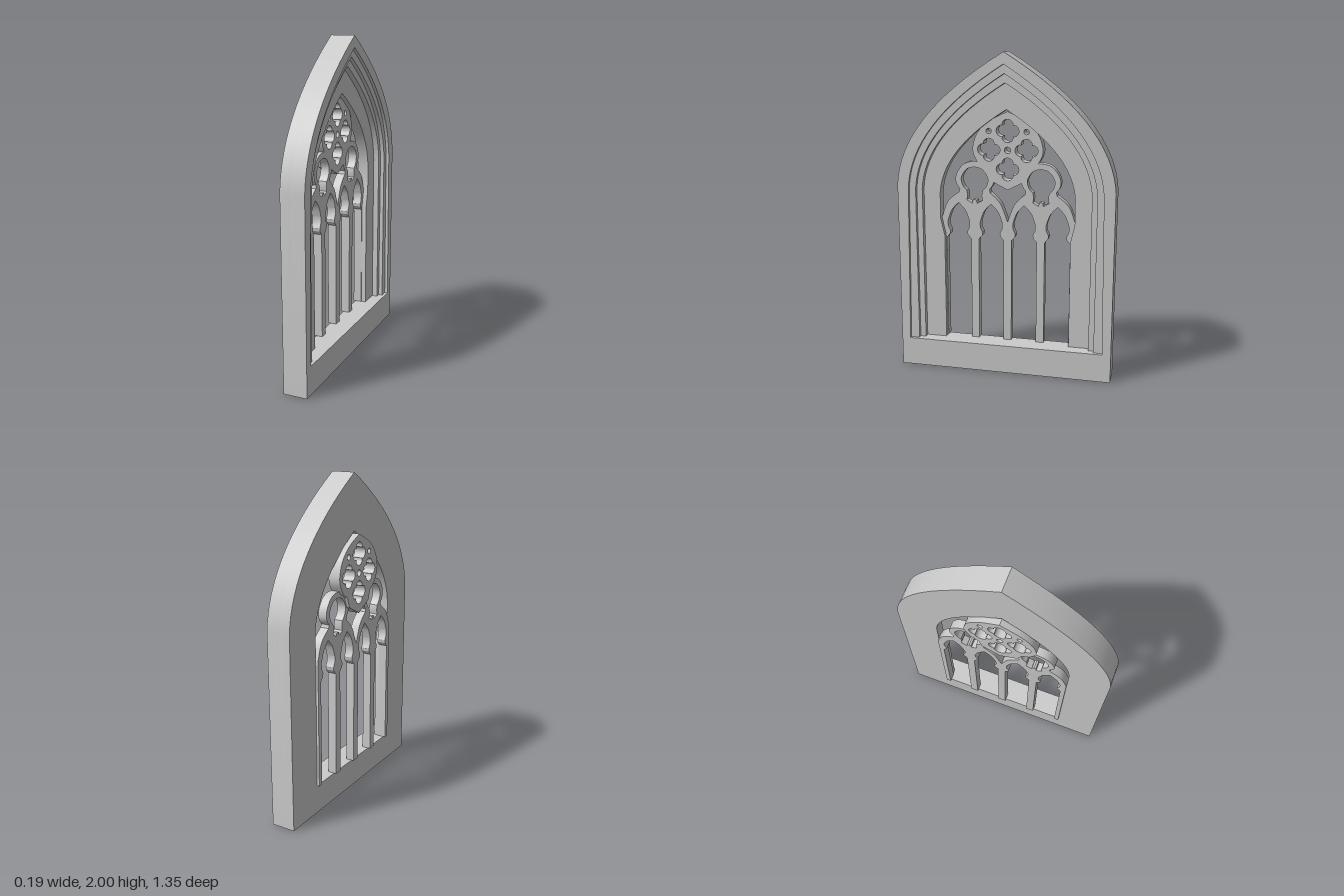
import * as THREE from 'three';
import { toCreasedNormals } from 'three/addons/utils/BufferGeometryUtils.js';

const material = new THREE.MeshStandardMaterial({ color: 0xcccccc });
const SILL = 0.18;
const V = ([x, y]) => new THREE.Vector2(x, y);
const mirror = (pts) => pts.map(([x, y]) => [-x, y]).reverse();

// Smooth curve through a few points
const smooth = (pts, n = 24, closed = false) =>
  new THREE.SplineCurve(pts.map(V)).getPoints(n).map((p) => [p.x, p.y]);

// Closed pointed arch: vertical jambs, then two curves meeting at the apex
function arch(foot, base, w, spring, apex, jamb = []) {
  const side = new THREE.QuadraticBezierCurve(
    V([w, spring]), V([w * 0.96, spring + 0.52 * (apex - spring)]), V([0, apex]));
  const half = [[foot, base], ...jamb, ...side.getPoints(16).map((p) => [p.x, p.y])];
  return [...half, ...mirror(half).slice(1)];
}

// Extrude an elevation (z, y) between two x positions
function slab(name, outline, holes, x0, x1) {
  const shape = new THREE.Shape(outline.map(V));
  shape.holes = holes.map((h) => new THREE.Path(h.map(V)));
  const geo = new THREE.ExtrudeGeometry(shape, { depth: x1 - x0, bevelEnabled: false });
  geo.translate(0, 0, x0).rotateY(Math.PI / 2);
  const mesh = new THREE.Mesh(toCreasedNormals(geo, 0.5), material);
  mesh.name = name;
  return mesh;
}

// Frame made of layers whose openings step inwards
function makeFrame() {
  const frame = new THREE.Group();
  frame.name = 'frame';
  const outer = arch(0.675, 0, 0.675, 1.19, 2);
  const layers = [
    ['innerFrame', arch(0.4, SILL, 0.425, 1.13, 1.66, [[0.4, 0.86], [0.425, 0.97]]), -0.06, 0.01],
    ['innerStep', arch(0.53, SILL, 0.53, 1.16, 1.82), 0.01, 0.045],
    ['middleStep', arch(0.565, SILL, 0.565, 1.16, 1.875), 0.045, 0.07],
    ['outerStep', arch(0.62, SILL, 0.605, 1.17, 1.93), 0.07, 0.09],
  ];
  for (const [name, hole, x0, x1] of layers) frame.add(slab(name, outer, [hole], x0, x1));
  return frame;
}

// Mullions, four cusped lancets and the two eyes above them
function makeTracery() {
  const lancet = [
    [0.08, SILL], [0.08, 0.84], [0.058, 0.865], [0.055, 0.885], [0.07, 0.915],
    ...smooth([[0.071, 0.95], [0.045, 1.02], [0, 1.07]], 10),
  ];
  const notch = [...lancet, ...mirror(lancet).slice(1)].reverse();
  const top = [
    ...smooth([[0.425, 0.97], [0.385, 1.075], [0.31, 1.14]], 10),
    ...smooth([[0.305, 1.16], [0.33, 1.2], [0.325, 1.255], [0.28, 1.315], [0.21, 1.335],
      [0.14, 1.315], [0.095, 1.255], [0.09, 1.2], [0.115, 1.16]], 32),
    ...smooth([[0.11, 1.14], [0.045, 1.075], [0, 0.96]], 10),
  ];
  const outline = [[-0.425, SILL]];
  for (const c of [-0.315, -0.105, 0.105, 0.315])
    outline.push(...notch.map(([x, y]) => [x + c, y]));
  outline.push([0.425, SILL], ...top, ...mirror(top).slice(1));

  const eyeHalf = [
    ...smooth([[0, 1.3], [0.05, 1.285], [0.085, 1.23], [0.075, 1.18], [0.05, 1.15]], 16),
    [0.045, 1.12], [0.05, 1.09], [0.015, 1.07], [0.012, 1.09], [0, 1.095],
  ];
  const eye = [...eyeHalf, ...mirror(eyeHalf).slice(1, -1)];
  const eyes = [-0.21, 0.21].map((c) => eye.map(([x, y]) => [x + c, y]));
  return slab('tracery', outline, eyes, -0.075, -0.02);
}

// Pointed rosette pierced by four foils
function makeRosette() {
  const cy = 1.41;
  const half = [
    [0, 1.163], [0.11, 1.22], [0.135, 1.285],
    ...smooth([[0.18, 1.315], [0.215, 1.38], [0.217, 1.44], [0.185, 1.52], [0.11, 1.59], [0, 1.645]], 24),
  ];
  const ring = (x, y, radius, n) => Array.from({ length: n }, (_, i) => {
    const a = (i / n) * Math.PI * 2;
    return [x + radius(a) * Math.cos(a), y + radius(a) * Math.sin(a)];
  });
  const foil = (a) => 0.047 + 0.024 * Math.abs(Math.cos(2 * a)) ** 0.7;
  const holes = [ring(0, cy, () => 0.02, 16)];
  for (let i = 0; i < 4; i++) {
    const a = (i * Math.PI) / 2;
    holes.push(ring(0.118 * Math.cos(a), cy + 0.118 * Math.sin(a), foil, 48));
  }
  for (const s of [-1, 1]) holes.push(ring(s * 0.118, 1.525, () => 0.017, 12));
  return slab('rosette', [...half, ...mirror(half).slice(1, -1)], holes, -0.095, -0.02);
}

export function createModel() {
  const model = new THREE.Group();
  model.name = 'gothicWindow';
  model.add(makeFrame(), makeTracery(), makeRosette());
  return model;
}
